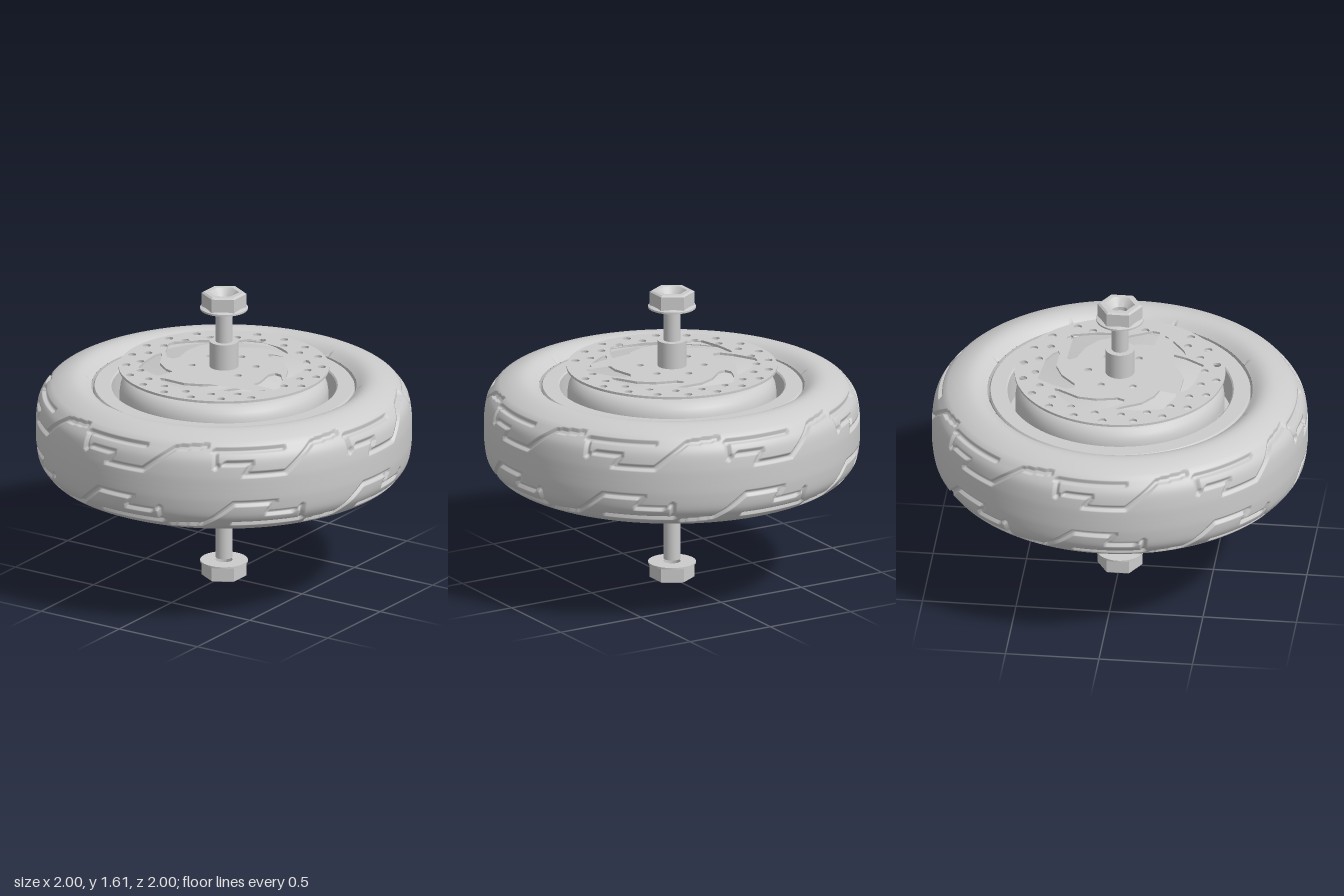
import * as THREE from 'three';
import { toCreasedNormals } from 'three/addons/utils/BufferGeometryUtils.js';

const MID = 0.845; // height of the wheel's centre plane
const mat = new THREE.MeshStandardMaterial({ color: 0xcccccc });
const thinMat = new THREE.MeshStandardMaterial({ color: 0xcccccc, side: THREE.DoubleSide });
const V2 = (x, y) => new THREE.Vector2(x, y);

function add(parent, name, geometry, y = 0, material = mat) {
  const mesh = new THREE.Mesh(geometry, material);
  mesh.name = name;
  mesh.position.y = y;
  parent.add(mesh);
  return mesh;
}

const lathe = (pts, seg) =>
  toCreasedNormals(new THREE.LatheGeometry(pts.map(p => V2(...p)), seg), 0.55);

// Tread motif as polylines of [degrees, height above centre], repeated 8 times
const GROOVES = [
  [[-13.5, 0.12], [-14, 0.205], [8, 0.205]],
  [[-11, 0.14], [-2.4, 0.14], [-4.7, 0.082], [8, 0.082], [18, 0.21], [28.3, 0.225]],
];
const ARC = 0.97 * Math.PI / 180; // degrees to surface length

function inGroove(deg, y) {
  const local = ((deg + 16) % 45 + 45) % 45 - 16;
  const px = local * ARC;
  for (const path of GROOVES) {
    for (let i = 0; i + 1 < path.length; i++) {
      const ax = path[i][0] * ARC, ay = path[i][1];
      const dx = path[i + 1][0] * ARC - ax, dy = path[i + 1][1] - ay;
      const t = THREE.MathUtils.clamp(((px - ax) * dx + (y - ay) * dy) / (dx * dx + dy * dy), 0, 1);
      if (Math.hypot(px - ax - t * dx, y - ay - t * dy) < 0.0115) return true;
    }
  }
  return false;
}

// Upper half of the tyre: a swept profile with the grooves pressed in
function halfTyre() {
  const curve = new THREE.SplineCurve([
    V2(1, 0), V2(0.998, 0.075), V2(0.985, 0.155), V2(0.955, 0.205), V2(0.92, 0.24),
    V2(0.86, 0.268), V2(0.8, 0.28), V2(0.75, 0.268), V2(0.705, 0.235),
  ]);
  const us = [];
  for (let i = 0; i < 4; i++) us.push(0.1 * i / 4);
  for (let i = 0; i < 28; i++) us.push(0.1 + 0.44 * i / 28);
  for (let i = 0; i <= 9; i++) us.push(0.54 + 0.46 * i / 9);
  const cols = 640, pos = [], idx = [];
  us.forEach((u, i) => {
    const p = curve.getPointAt(u), t = curve.getTangentAt(u);
    for (let j = 0; j < cols; j++) {
      const deg = j * 360 / cols, a = deg * Math.PI / 180;
      const d = inGroove(deg, p.y) ? 0.016 : 0;
      const r = p.x - d * t.y;
      pos.push(r * Math.sin(a), p.y + d * t.x, r * Math.cos(a));
      if (i + 1 < us.length) {
        const k = (j + 1) % cols, A = i * cols, B = A + cols;
        idx.push(A + j, A + k, B + k, A + j, B + k, B + j);
      }
    }
  });
  const g = new THREE.BufferGeometry();
  g.setAttribute('position', new THREE.Float32BufferAttribute(pos, 3));
  g.setIndex(idx);
  g.computeVertexNormals();
  return g;
}

function circleHole(shape, x, y, r) {
  shape.holes.push(new THREE.Path().absarc(x, y, r, 0, Math.PI * 2, true));
}

// Flat plate lying on the xz plane, rising by its thickness
function plate(shape, depth, curveSegments) {
  return new THREE.ExtrudeGeometry(shape, { depth, bevelEnabled: false, curveSegments }).rotateX(-Math.PI / 2);
}

function brakeDisc() {
  // Rim of the disc as points, so the small holes can stay coarser
  const outline = [];
  for (let i = 0; i < 96; i++) outline.push(V2(0.56, 0).rotateAround(V2(0, 0), i * Math.PI / 48));
  const shape = new THREE.Shape(outline);
  const ring = (count, radius, hole, offset) => {
    for (let i = 0; i < count; i++) {
      const a = THREE.MathUtils.degToRad(offset + i * 360 / count);
      circleHole(shape, radius * Math.sin(a), radius * Math.cos(a), hole);
    }
  };
  ring(20, 0.52, 0.022, 4);
  ring(20, 0.45, 0.021, 11);
  ring(6, 0.17, 0.02, 0);
  circleHole(shape, 0, 0, 0.07);
  // Six swept windows
  for (let i = 0; i < 6; i++) {
    const rot = ([x, y]) => V2(x, y).rotateAround(V2(0, 0), i * Math.PI / 3);
    const w = [[0.12, 0.312], [0.2, 0.325], [0.33, 0.318], [0.36, 0.29], [0.39, 0.17], [0.4, 0.06],
      [0.39, 0.02], [0.37, 0.04], [0.31, 0.15], [0.23, 0.21], [0.12, 0.245], [0.095, 0.28]].map(rot);
    shape.holes.push(new THREE.Path(w));
  }
  return plate(shape, 0.013, 10);
}

// Flanged hex nut with a tapered bore; the flange sits at y = 0
function flangeNut() {
  const nut = new THREE.Group();
  const hex = new THREE.Shape();
  for (let i = 0; i < 6; i++) {
    const a = i * Math.PI / 3;
    hex[i ? 'lineTo' : 'moveTo'](0.12 * Math.sin(a), 0.12 * Math.cos(a));
  }
  hex.closePath();
  circleHole(hex, 0, 0, 0.08);
  add(nut, 'nutBody', plate(hex, 0.077, 16), 0.01);
  // Narrower cap ring forms the chamfer at the end of the nut
  const cap = new THREE.CylinderGeometry(0.108, 0.12, 0.008, 6, 1, true);
  add(nut, 'nutChamfer', toCreasedNormals(cap, 0.3), 0.091);
  const face = new THREE.RingGeometry(0.08, 0.108, 6).rotateZ(Math.PI / 6).rotateX(-Math.PI / 2);
  add(nut, 'nutEndFace', face, 0.095);
  add(nut, 'nutBore', lathe([[0.046, 0], [0.046, 0.05], [0.08, 0.095]], 32), 0, thinMat);
  add(nut, 'nutFlange', lathe([[0.046, 0], [0.127, 0], [0.127, 0.01], [0.1, 0.018]], 48), 0, thinMat);
  return nut;
}

export function createModel() {
  const model = new THREE.Group();
  model.name = 'wheel';

  // Tyre: two halves related by a half turn, plus the inner wall
  const tyre = new THREE.Group();
  tyre.name = 'tyre';
  tyre.position.y = MID;
  model.add(tyre);
  const half = halfTyre();
  add(tyre, 'upperTyreHalf', half);
  add(tyre, 'lowerTyreHalf', half).rotation.z = Math.PI;
  add(tyre, 'tyreInnerWall', new THREE.CylinderGeometry(0.705, 0.705, 0.47, 96, 1, true), 0, thinMat);

  // Hub drum and rim, mirrored about the centre plane
  const upper = [
    [0.695, 0.225], [0.688, 0.235], [0.605, 0.235], [0.598, 0.228], [0.598, 0.06], [0.555, 0.06], [0.555, 0.2],
    [0.55, 0.235], [0.535, 0.265], [0.515, 0.286], [0.49, 0.298], [0.12, 0.298], [0.1, 0.31], [0.075, 0.345], [0, 0.345],
  ];
  const lower = upper.map(([r, y]) => [r, -y]).reverse();
  add(model, 'hubAndRim', lathe([...lower, ...upper], 96), MID);

  add(model, 'brakeDisc', brakeDisc(), 1.175);

  // Axle and spacers
  add(model, 'axle', new THREE.CylinderGeometry(0.045, 0.045, 1.43, 32), 0.825);
  for (const s of [1, -1]) {
    add(model, s > 0 ? 'upperSpacer' : 'lowerSpacer',
      new THREE.CylinderGeometry(0.077, 0.077, 0.16, 40), MID + s * 0.405);
  }

  // Nuts at both ends
  const top = flangeNut();
  top.name = 'upperNut';
  top.position.y = 1.51;
  const bottom = flangeNut();
  bottom.name = 'lowerNut';
  bottom.rotation.x = Math.PI;
  bottom.position.y = 0.095;
  model.add(top, bottom);

  return model;
}
